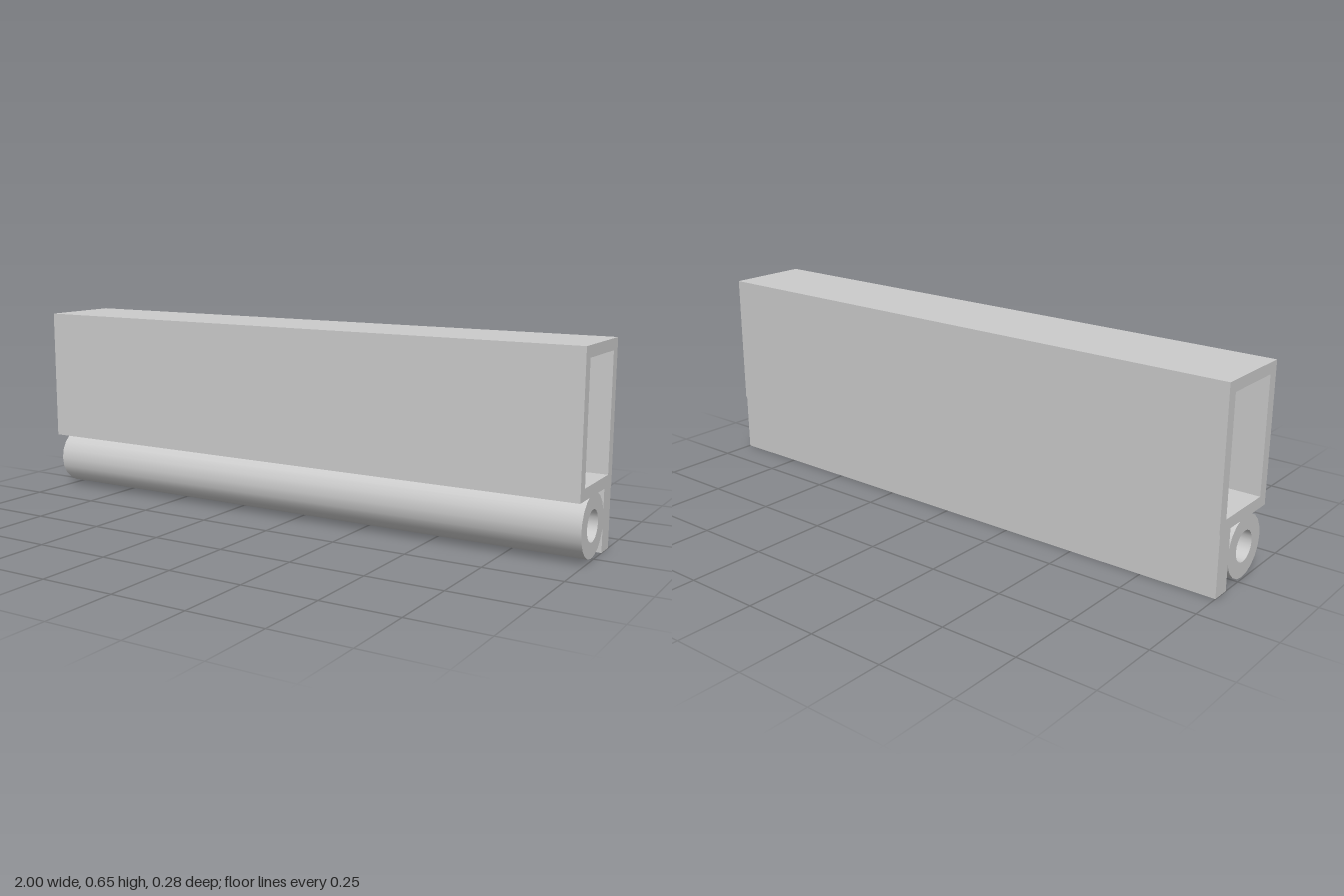
import * as THREE from 'three';
import { toCreasedNormals } from 'three/addons/utils/BufferGeometryUtils.js';

const LENGTH = 2;
const material = new THREE.MeshStandardMaterial({ color: 0xcccccc });

// Rectangle outline; profile u runs towards the back (u = -z), v is up
function rectangle(path, u0, u1, v0, v1) {
  path.moveTo(u0, v0);
  path.lineTo(u1, v0);
  path.lineTo(u1, v1);
  path.lineTo(u0, v1);
  path.closePath();
  return path;
}

// Sweep a profile along the full length in x
function sweep(name, shape) {
  const extruded = new THREE.ExtrudeGeometry(shape, {
    depth: LENGTH, bevelEnabled: false, curveSegments: 10,
  });
  extruded.translate(0, 0, -LENGTH / 2);
  extruded.rotateY(Math.PI / 2);
  const mesh = new THREE.Mesh(toCreasedNormals(extruded, 0.6), material);
  mesh.name = name;
  return mesh;
}

export function createModel() {
  const model = new THREE.Group();
  model.name = 'hollowRail';

  // Rectangular hollow beam
  const beam = rectangle(new THREE.Shape(), -0.142, 0.142, 0.199, 0.648);
  beam.holes.push(rectangle(new THREE.Path(), -0.106, 0.106, 0.236, 0.612));
  model.add(sweep('hollowBeam', beam));

  // Round tube under the beam
  const tube = new THREE.Shape();
  tube.absarc(-0.022, 0.107, 0.1, 0, Math.PI * 2, false);
  const bore = new THREE.Path();
  bore.absarc(-0.022, 0.107, 0.05, 0, Math.PI * 2, true);
  tube.holes.push(bore);
  model.add(sweep('roundTube', tube));

  // Flat strip hanging at the back
  model.add(sweep('backStrip', rectangle(new THREE.Shape(), 0.075, 0.138, 0, 0.2)));

  return model;
}
